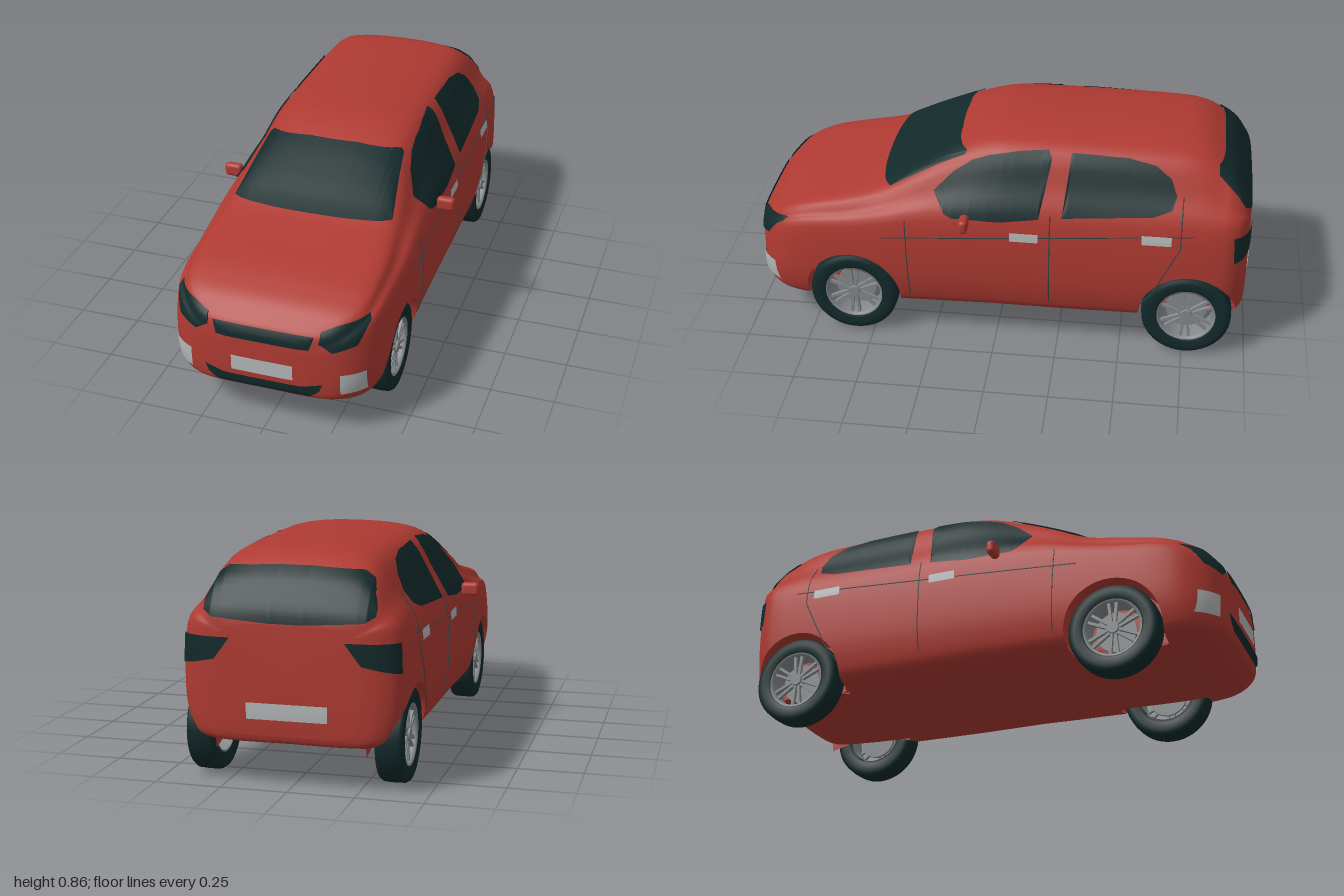
import * as THREE from 'three';
import { RoundedBoxGeometry } from 'three/addons/geometries/RoundedBoxGeometry.js';

const mat = (name, color, side = THREE.DoubleSide) => {
  const m = new THREE.MeshStandardMaterial({ color, side });
  m.name = name;
  return m;
};
const red = mat('red paint', 0xae3a32);
const dark = mat('dark glass and rubber', 0x12292a);
const pale = mat('pale grey', 0xb4b8b8);
const metal = mat('wheel metal', 0x85898b);
const slate = mat('seam slate', 0x34494b);

// Stations along the body: z, half width, underside y, shoulder y, roof half width, roof y
const STATIONS = [
  [-0.985, 0.27, 0.2, 0.55, 0.21, 0.6], [-0.975, 0.33, 0.175, 0.57, 0.265, 0.645],
  [-0.95, 0.38, 0.165, 0.58, 0.285, 0.69], [-0.91, 0.408, 0.155, 0.58, 0.285, 0.755],
  [-0.86, 0.418, 0.15, 0.58, 0.275, 0.8], [-0.78, 0.422, 0.145, 0.58, 0.275, 0.842],
  [-0.65, 0.425, 0.14, 0.575, 0.28, 0.857], [-0.3, 0.425, 0.135, 0.57, 0.285, 0.862],
  [-0.07, 0.425, 0.135, 0.57, 0.285, 0.86], [0.04, 0.425, 0.135, 0.565, 0.28, 0.847],
  [0.17, 0.425, 0.132, 0.555, 0.28, 0.8], [0.32, 0.425, 0.13, 0.54, 0.305, 0.72],
  [0.46, 0.425, 0.128, 0.515, 0.32, 0.642], [0.6, 0.422, 0.125, 0.49, 0.335, 0.602],
  [0.75, 0.414, 0.125, 0.475, 0.335, 0.567], [0.84, 0.398, 0.13, 0.455, 0.325, 0.535],
  [0.9, 0.365, 0.14, 0.43, 0.295, 0.505], [0.945, 0.315, 0.155, 0.4, 0.25, 0.465],
  [0.97, 0.255, 0.17, 0.375, 0.2, 0.44], [0.985, 0.17, 0.2, 0.35, 0.13, 0.41],
];
const AXLES = [0.575, -0.76], AXLE_Y = 0.178, ARCH = 0.192, WELL_X = 0.28;

const catmull = (a, b, c, d, t) =>
  b + 0.5 * t * (c - a + t * (2 * a - 5 * b + 4 * c - d + t * (3 * (b - c) + d - a)));

// One closed cross-section ring of the body
function ring([z, w, yb, ys, wr, yt], n) {
  const drop = 0.17 * (yt - ys), k = ys - yb;
  const half = [[0, yb], [0.6 * w, yb], [0.87 * w, yb + 0.04 * k], [0.96 * w, yb + 0.18 * k], [w, yb + 0.5 * k],
    [0.968 * w, ys], [0.49 * w + 0.5 * wr, (ys + yt - drop) / 2], [wr, yt - drop], [wr * 0.62, yt - drop * 0.2], [0, yt]];
  const all = [...half, ...half.slice(1, -1).reverse().map(([x, y]) => [-x, y])];
  const curve = new THREE.CatmullRomCurve3(all.map(([x, y]) => new THREE.Vector3(x, y, z)), true, 'catmullrom', 0.5);
  return Array.from({ length: n }, (_, j) => curve.getPoint(j / n));
}

function bodyGeometry() {
  const n = 72, sub = 6, rows = [], last = STATIONS.length - 1;
  const at = i => STATIONS[Math.min(Math.max(i, 0), last)];
  for (let i = 0; i < last; i++) for (let s = 0; s < sub; s++)
    rows.push(ring(at(i).map((v, c) => catmull(at(i - 1)[c], v, at(i + 1)[c], at(i + 2)[c], s / sub)), n));
  rows.push(ring(at(last), n));
  // close both ends with shrinking rings
  const shrink = (r, k, dz) => {
    const c = new THREE.Vector3(0, (r[0].y + r[n / 2].y) / 2, r[0].z);
    return r.map(p => p.clone().lerp(c, 1 - k).add(new THREE.Vector3(0, 0, dz)));
  };
  const tail = rows[0], nose = rows[rows.length - 1];
  rows.unshift(shrink(tail, 0, -0.006), shrink(tail, 0.6, -0.005));
  rows.push(shrink(nose, 0.6, 0.004), shrink(nose, 0, 0.005));
  const idx = [];
  for (let i = 0; i < rows.length - 1; i++) for (let j = 0; j < n; j++) {
    const a = i * n + j, b = i * n + (j + 1) % n;
    idx.push(a, b, a + n, b, b + n, a + n);
  }
  const g = new THREE.BufferGeometry().setFromPoints(rows.flat());
  g.setIndex(idx);
  g.computeVertexNormals();
  return g;
}

// Trim the wheel openings out of the body
function cutArches(src) {
  const P = src.attributes.position, N = src.attributes.normal, pos = [], nor = [];
  const dist = p => Math.min(...AXLES.map(z => Math.max(Math.hypot(p.z - z, p.y - AXLE_Y) - ARCH, WELL_X - Math.abs(p.x))));
  const verts = Array.from({ length: P.count }, (_, i) => {
    const p = new THREE.Vector3().fromBufferAttribute(P, i);
    return { p, n: new THREE.Vector3().fromBufferAttribute(N, i), d: dist(p) };
  });
  const ix = src.index.array;
  for (let t = 0; t < ix.length; t += 3) {
    const tri = [verts[ix[t]], verts[ix[t + 1]], verts[ix[t + 2]]], out = [];
    tri.forEach((a, k) => {
      const b = tri[(k + 1) % 3];
      if (a.d >= 0) out.push(a);
      if (a.d >= 0 !== b.d >= 0) {
        const s = a.d / (a.d - b.d);
        out.push({ p: a.p.clone().lerp(b.p, s), n: a.n.clone().lerp(b.n, s).normalize() });
      }
    });
    for (let k = 1; k + 1 < out.length; k++)
      for (const v of [out[0], out[k], out[k + 1]]) { pos.push(...v.p); nor.push(...v.n); }
  }
  const g = new THREE.BufferGeometry();
  g.setAttribute('position', new THREE.Float32BufferAttribute(pos, 3));
  g.setAttribute('normal', new THREE.Float32BufferAttribute(nor, 3));
  return g;
}

function gridGeometry(points, cols, flip) {
  const idx = [], rows = points.length / cols;
  for (let i = 0; i < rows - 1; i++) for (let j = 0; j < cols - 1; j++) {
    const a = i * cols + j, b = a + cols;
    idx.push(...(flip ? [a, b + 1, b, a, a + 1, b + 1] : [a, b, b + 1, a, b + 1, a + 1]));
  }
  const g = new THREE.BufferGeometry().setFromPoints(points);
  g.setIndex(idx);
  g.computeVertexNormals();
  return g;
}

export function createModel() {
  const car = new THREE.Group();
  car.name = 'car';
  const add = (name, geo, m, parent = car) => {
    const mesh = new THREE.Mesh(geo, m);
    mesh.name = name;
    parent.add(mesh);
    return mesh;
  };
  const whole = bodyGeometry(), target = new THREE.Mesh(whole, red), caster = new THREE.Raycaster();
  add('body', cutArches(whole), red);

  // Find the body surface behind a point drawn on the front, back or side
  const V = (x, y, z) => new THREE.Vector3(x, y, z);
  const project = (view, u, v, lift = 0.006) => {
    for (let k = 0; k < 12; k++) {
      const q = 1 - 0.015 * k, y = 0.4 + (v - 0.4) * q;
      if (view === 'side') caster.set(V(3, y, u * q), V(-1, 0, 0));
      else caster.set(V(u * q, y, view === 'front' ? 3 : -3), V(0, 0, view === 'front' ? -1 : 1));
      const hit = caster.intersectObject(target)[0];
      if (hit) return hit.point.addScaledVector(hit.face.normal, lift);
    }
    return V(0, v, 0);
  };

  // Thin panel laid on the body inside a 2D outline
  const panel = (name, view, outline, m, sides = [1]) => {
    const us = outline.map(p => p[0]), lo = Math.min(...us) + 1e-4, hi = Math.max(...us) - 1e-4, cols = 9, pts = [];
    const scan = [...Array.from({ length: 23 }, (_, i) => lo + (hi - lo) * i / 22), ...us.filter(u => u > lo && u < hi)].sort((a, b) => a - b);
    for (const u of scan) {
      const vs = [];
      outline.forEach(([u0, v0], i) => {
        const [u1, v1] = outline[(i + 1) % outline.length];
        if (u0 !== u1 && (u - u0) * (u - u1) <= 0) vs.push(v0 + (v1 - v0) * (u - u0) / (u1 - u0));
      });
      const v0 = Math.min(...vs), v1 = Math.max(...vs);
      for (let j = 0; j < cols; j++) pts.push(project(view, u, v0 + (v1 - v0) * j / (cols - 1)));
    }
    for (const s of sides)
      add(name, gridGeometry(pts.map(p => V(p.x * s, p.y, p.z)), cols, (view !== 'front') !== (s < 0)), m);
  };
  const mirrored = half => [...half, ...half.slice().reverse().map(([x, y]) => [-x, y])];
  const rect = (u0, u1, v0, v1) => [[u0, v0], [u1, v0], [u1, v1], [u0, v1]];
  const both = [1, -1];

  // Glass
  panel('windscreen', 'front', mirrored([[0.317, 0.637], [0.275, 0.775], [0.262, 0.787], [0.24, 0.791], [0.1, 0.802]]), dark);
  panel('rear window', 'back', mirrored([[0.06, 0.605], [0.28, 0.62], [0.312, 0.64], [0.315, 0.67], [0.285, 0.76], [0.25, 0.785], [0.06, 0.795]]), dark);
  panel('front side window', 'side', [[0.245, 0.65], [0.17, 0.72], [0.1, 0.765], [0.03, 0.79], [-0.07, 0.81], [-0.195, 0.82], [-0.21, 0.8],
    [-0.205, 0.76], [-0.17, 0.585], [-0.02, 0.565], [0.17, 0.565], [0.2, 0.58]], dark, both);
  panel('rear side window', 'side', [[-0.285, 0.815], [-0.5, 0.81], [-0.61, 0.79], [-0.67, 0.75], [-0.695, 0.69], [-0.68, 0.645],
    [-0.61, 0.62], [-0.26, 0.595]], dark, both);

  // Lamps, grilles and plates
  panel('headlight', 'front', [[0.36, 0.493], [0.283, 0.478], [0.217, 0.454], [0.212, 0.415], [0.262, 0.383], [0.34, 0.404], [0.37, 0.475]], dark, both);
  panel('tail light', 'back', [[0.21, 0.55], [0.395, 0.55], [0.4, 0.44], [0.27, 0.47]], dark, both);
  panel('upper grille', 'front', mirrored([[0.178, 0.387], [0.195, 0.436]]), dark);
  panel('lower grille', 'front', mirrored([[0.18, 0.185], [0.215, 0.21], [0.228, 0.243], [0.15, 0.226]]), dark);
  panel('fog lamp', 'front', rect(0.288, 0.368, 0.2, 0.287), pale, both);
  panel('front plate', 'front', rect(-0.12, 0.118, 0.248, 0.31), pale);
  panel('rear plate', 'back', rect(-0.15, 0.15, 0.26, 0.32), pale);
  panel('front door handle', 'side', rect(-0.17, -0.06, 0.488, 0.524), pale, both);
  panel('rear door handle', 'side', rect(-0.685, -0.57, 0.512, 0.55), pale, both);

  // Door and waist seams
  const seams = [[[0.445, 0.46], [-0.84, 0.56]], [[0.355, 0.54], [0.34, 0.18]], [[-0.215, 0.6], [-0.215, 0.19]],
    [[-0.72, 0.69], [-0.72, 0.5], [-0.62, 0.29], [-0.57, 0.22]]];
  for (const line of seams) {
    const pts = [];
    for (let i = 0; i + 1 < line.length; i++) for (let k = 0; k < 10; k++) {
      const [a, b] = [line[i], line[i + 1]], t = k / 9.5;
      pts.push(project('side', a[0] + (b[0] - a[0]) * t, a[1] + (b[1] - a[1]) * t, 0.001));
    }
    for (const s of both)
      add('seam', new THREE.TubeGeometry(new THREE.CatmullRomCurve3(pts.map(p => V(p.x * s, p.y, p.z))), 40, 0.0022, 4), slate);
  }

  // Wheel shapes, turned so the axle lies along x
  const lathe = pts => new THREE.LatheGeometry(pts.map(p => new THREE.Vector2(...p)), 48).rotateZ(-Math.PI / 2);
  const tyre = lathe([[0.114, -0.045], [0.125, -0.051], [0.15, -0.053], [0.168, -0.049], [0.176, -0.038], [0.178, 0],
    [0.176, 0.038], [0.168, 0.049], [0.15, 0.053], [0.125, 0.051], [0.114, 0.045]]);
  const rim = lathe([[0.108, -0.045], [0.104, 0], [0.105, 0.036], [0.108, 0.045], [0.116, 0.047]]);
  const disc = new THREE.CylinderGeometry(0.08, 0.08, 0.012, 32).rotateZ(Math.PI / 2);
  const hub = new THREE.CylinderGeometry(0.022, 0.028, 0.03, 20).rotateZ(-Math.PI / 2);
  const spoke = new THREE.BoxGeometry(0.014, 0.092, 0.011);

  for (const s of both) for (const z of AXLES) {
    const wheel = new THREE.Group();
    wheel.name = 'wheel';
    wheel.position.set(s * 0.353, AXLE_Y, z);
    wheel.rotation.y = s > 0 ? 0 : Math.PI;
    car.add(wheel);
    add('tyre', tyre, dark, wheel);
    add('rim', rim, metal, wheel);
    add('brake disc', disc, metal, wheel).position.x = -0.01;
    add('hub', hub, metal, wheel).position.x = 0.03;
    for (let k = 0; k < 6; k++) for (const e of both) {
      const arm = new THREE.Group();
      arm.name = 'spoke arm';
      arm.rotation.x = k * Math.PI / 3;
      wheel.add(arm);
      const bar = add('spoke', spoke, metal, arm);
      bar.position.set(0.03, 0.061, e * 0.011);
      bar.rotation.x = e * 0.1;
    }
    // Wheel well: curved liner out to the body skin, and its inner wall
    const pts = [], a0 = -0.25, span = Math.PI + 0.5;
    for (let k = 0; k <= 36; k++) {
      const a = a0 + span * k / 36, y = AXLE_Y + ARCH * Math.sin(a), zz = z + ARCH * Math.cos(a);
      const x = Math.max(WELL_X, project('side', zz, y, 0).x);
      pts.push(V(s * WELL_X, y, zz), V(s * x, y, zz));
    }
    add('wheel well', gridGeometry(pts, 2, s < 0), red);
    const wall = add('wheel well wall', new THREE.CircleGeometry(ARCH, 36, a0, span), red);
    wall.rotation.y = Math.PI / 2;
    wall.position.set(s * WELL_X, AXLE_Y, z);
  }

  // Door mirrors
  for (const s of both) {
    add('mirror', new RoundedBoxGeometry(0.074, 0.056, 0.036, 4, 0.016), red).position.set(s * 0.45, 0.568, 0.115);
    add('mirror arm', new THREE.BoxGeometry(0.045, 0.024, 0.018), dark).position.set(s * 0.4, 0.568, 0.115);
  }
  return car;
}
